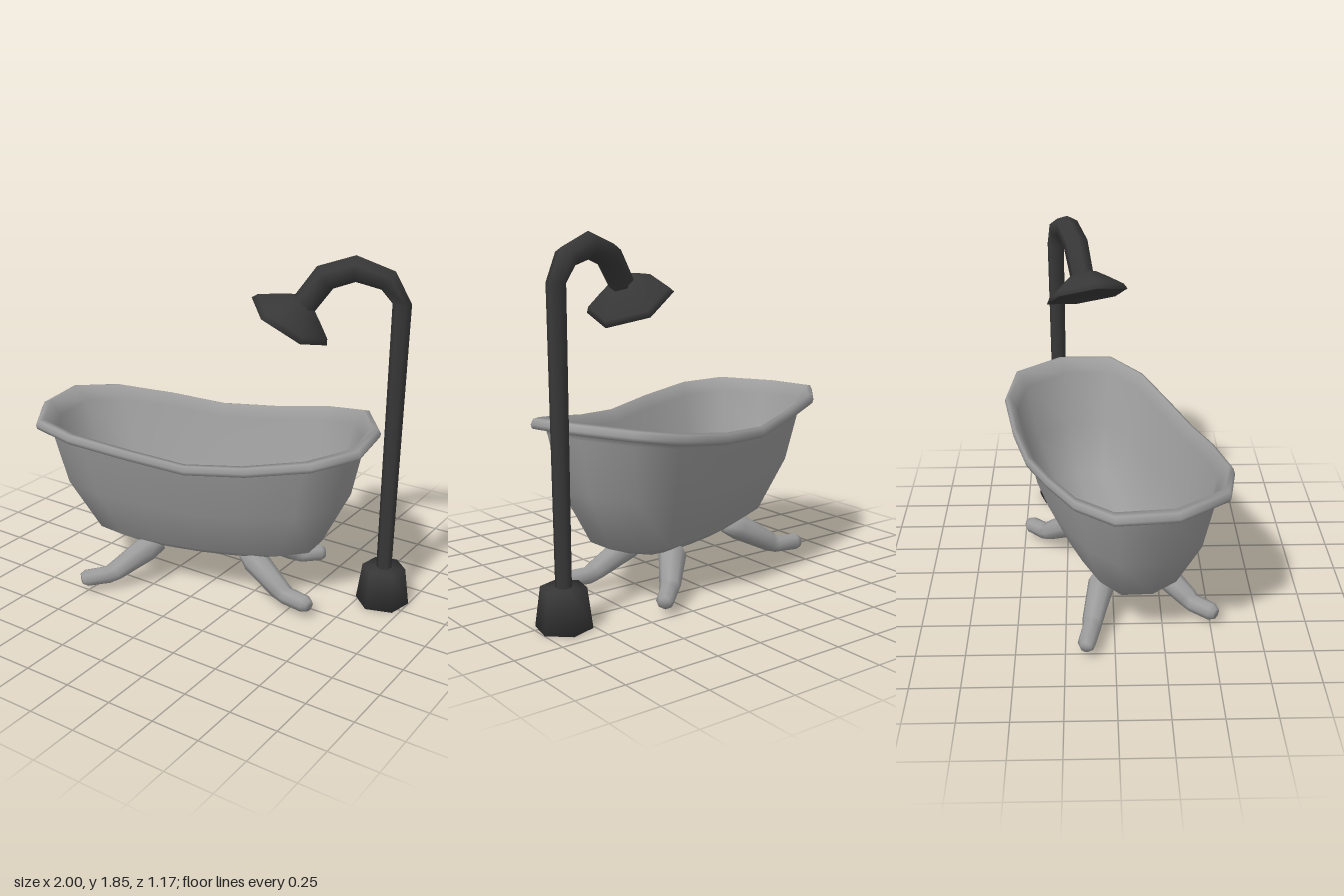
import * as THREE from 'three';

const enamel = new THREE.MeshStandardMaterial({ color: 0x9c9c9c });
const darkMetal = new THREE.MeshStandardMaterial({ color: 0x383838 });

// Tub and legs lean slightly along their length
const SKEW = 0.065;

// Skin joining closed rings of points, smooth shaded
function skin(rows) {
  const n = rows[0].length;
  const positions = rows.flat().flatMap((p) => [p.x, p.y, p.z]);
  const index = [];
  for (let j = 0; j < rows.length - 1; j++) {
    for (let i = 0; i < n; i++) {
      const k = (i + 1) % n;
      const a = j * n + i, b = j * n + k, c = a + n, d = b + n;
      index.push(a, b, c, b, d, c);
    }
  }
  const geometry = new THREE.BufferGeometry();
  geometry.setAttribute('position', new THREE.Float32BufferAttribute(positions, 3));
  geometry.setIndex(index);
  geometry.computeVertexNormals();
  return geometry;
}

// Tapered limb along a path that lies in a vertical plane; points are [x, y, z, radius]
function limb(points, sides) {
  const path = points.map(([x, y, z]) => new THREE.Vector3(x, y, z));
  const last = path.length - 1;
  const run = path[last].clone().sub(path[0]);
  const side = new THREE.Vector3(-run.z, 0, run.x).normalize();
  const rows = path.map((p, j) => {
    const before = path[Math.max(j - 1, 0)], after = path[Math.min(j + 1, last)];
    const tangent = after.clone().sub(before).normalize();
    const up = new THREE.Vector3().crossVectors(tangent, side).normalize();
    return Array.from({ length: sides }, (_, i) => {
      const a = (i / sides) * Math.PI * 2 + Math.PI / 2, r = points[j][3];
      return p.clone().addScaledVector(side, r * Math.cos(a)).addScaledVector(up, r * Math.sin(a));
    });
  });
  rows.unshift(rows[0].map(() => path[0].clone()));
  rows.push(rows[rows.length - 1].map(() => path[last].clone()));
  return skin(rows);
}

function add(parent, name, geometry, material) {
  const mesh = new THREE.Mesh(geometry, material);
  mesh.name = name;
  parent.add(mesh);
  return mesh;
}

// Tub outline, one quadrant: [half length, half width, rim height at -x, rim height at +x]
const quadrant = [
  [0.934, 0, 0.935, 0.975],
  [0.858, 0.295, 0.94, 0.96],
  [0.635, 0.42, 0.928, 0.918],
  [0.31, 0.463, 0.893, 0.873],
  [0, 0.478, 0.855, 0.855],
];

function tubOutline() {
  const ring = [];
  for (let i = 0; i < 16; i++) {
    const step = i % 8;
    const [x, z, low, high] = quadrant[step <= 4 ? step : 8 - step];
    const sx = i > 4 && i < 12 ? -1 : 1;
    const sz = i < 8 ? -1 : 1;
    ring.push(new THREE.Vector3(sx * x, sx < 0 ? low : high, sz * z));
  }
  return ring;
}

function tubGeometry() {
  const floor = 0.205;
  // [length scale, width scale, share of rim height, vertical offset, shift along length],
  // outside up and inside down
  const sections = [
    [0, 0, 0, 0, 0.02], [0.3, 0.2, 0, 0, 0.02], [0.5, 0.35, 0.035, 0, 0.02], [0.675, 0.51, 0.12, 0, 0.02],
    [0.84, 0.745, 0.5, 0, 0.01], [0.91, 0.86, 0.88, 0, 0.005], [0.925, 0.89, 1, -0.052, 0],
    [0.965, 0.95, 1, -0.06, 0], [0.993, 0.99, 1, -0.052, 0], [1, 1, 1, -0.032, 0], [0.985, 0.985, 1, -0.005, 0],
    [0.95, 0.95, 1, 0, 0], [0.89, 0.865, 0.9, 0, 0.005],
    [0.81, 0.72, 0.5, 0.01, 0.01], [0.63, 0.48, 0.14, 0.03, 0.02], [0.4, 0.32, 0, 0.065, 0.02], [0, 0, 0, 0.06, 0.02],
  ];
  const ring = tubOutline();
  return skin(sections.map(([sx, sz, t, d, shift]) => ring.map((p) => new THREE.Vector3(
    p.x * sx + shift + SKEW * p.z * sz, floor + t * (p.y - floor) + d, p.z * sz))));
}

export function createModel() {
  const model = new THREE.Group();
  model.name = 'bathtubWithShower';
  const set = new THREE.Group();
  set.name = 'bathSet';
  set.position.x = -0.077;
  set.rotation.y = Math.PI / 10;
  model.add(set);

  // Tub shell with rolled rim
  add(set, 'tub', tubGeometry(), enamel);

  // Four splayed legs with flat feet; the legs at the -x end stand wider
  for (const sx of [-1, 1]) {
    for (const sz of [-1, 1]) {
      const spread = sx < 0 ? 1.1 : 0.93;
      const points = [
        [0.622, 0.072, 0.33, 0.03],
        [0.597, 0.074, 0.317, 0.046],
        [0.495, 0.077, 0.262, 0.048],
        [0.455, 0.097, 0.243, 0.054],
        [0.3, 0.205, 0.147, 0.072],
        [0.23, 0.225, 0.1, 0.04],
      ].map(([x, y, z, r]) => [sx * x + 0.01 + SKEW * sz * z * spread, y, sz * z * spread, r]);
      const name = (sz > 0 ? 'front' : 'back') + (sx > 0 ? 'Left' : 'Right') + 'Leg';
      add(set, name, limb(points, 8), enamel);
    }
  }

  // Shower stand
  const shower = new THREE.Group();
  shower.name = 'shower';
  set.add(shower);
  const hexLathe = (profile) =>
    new THREE.LatheGeometry(profile.map(([r, y]) => new THREE.Vector2(r, y)), 6, Math.PI / 2);

  const base = add(shower, 'showerBase', hexLathe([[0, 0], [0.14, 0], [0.113, 0.2], [0, 0.2]]), darkMetal);
  base.position.set(0.988, 0, 0.01);

  // Pole bending over into the arm
  const pipe = [
    [0.988, 0.18, 0.04], [1.002, 1.63, 0.047], [0.93, 1.74, 0.057], [0.77, 1.788, 0.066],
    [0.62, 1.735, 0.068], [0.513, 1.585, 0.064], [0.5, 1.56, 0.064],
  ].map(([x, y, r]) => [x, y, 0.01, r]);
  add(shower, 'showerPipe', limb(pipe, 6), darkMetal);

  // Hollow six-sided head
  const head = add(shower, 'showerHead', hexLathe([
    [0, 0.05], [0.15, 0.035], [0.2, 0], [0.224, 0], [0.207, 0.03], [0.125, 0.088], [0.068, 0.125], [0, 0.13],
  ]), darkMetal);
  head.position.set(0.447, 1.5, 0.014);
  head.rotation.z = -0.51;

  return model;
}
